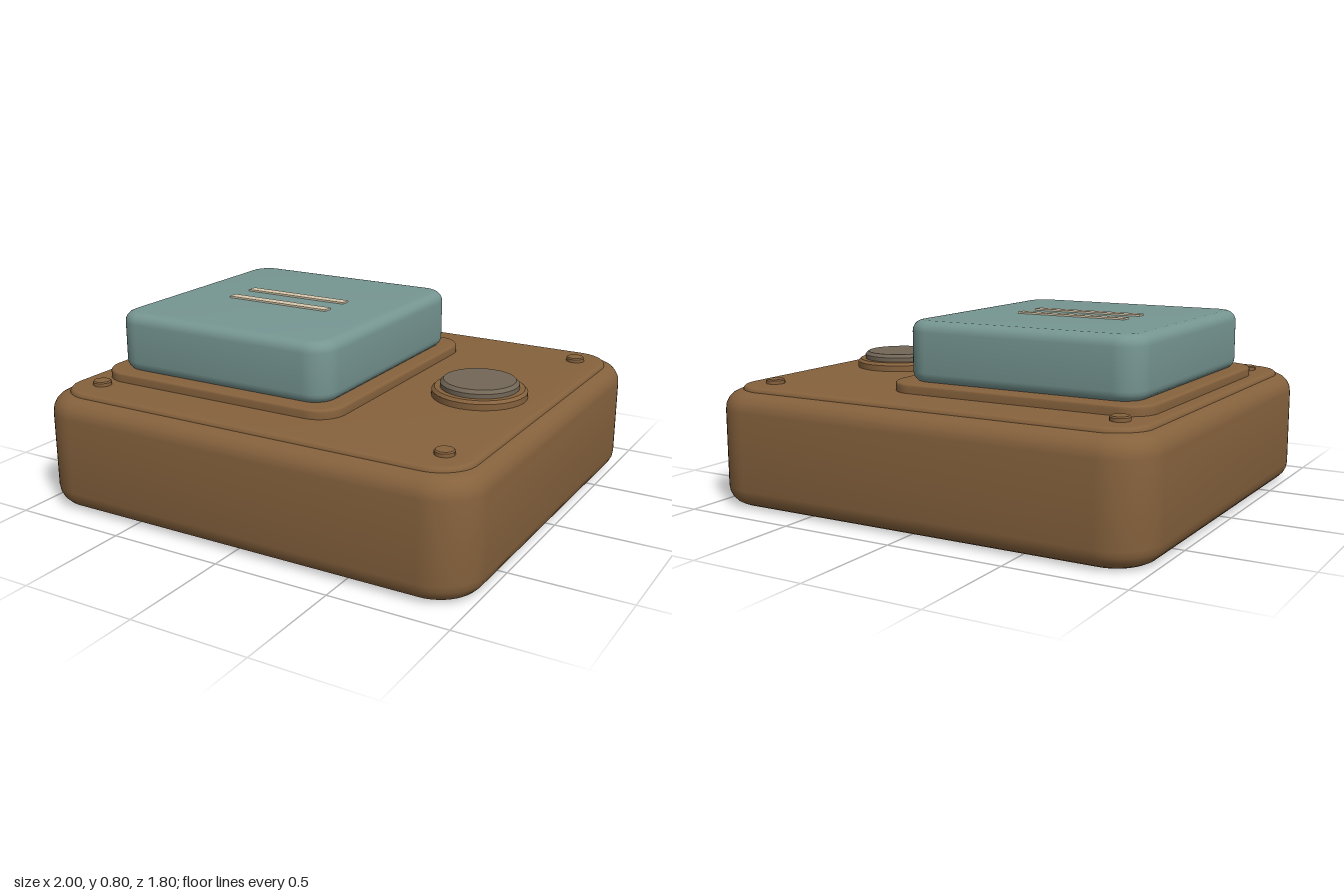
import * as THREE from 'three';
import { toCreasedNormals } from 'three/addons/utils/BufferGeometryUtils.js';

const paint = (name, color) => {
  const m = new THREE.MeshStandardMaterial({ color });
  m.name = name;
  return m;
};

// Rounded rectangle slab lying flat, with rounded top and bottom edges
function slab(x0, x1, depth, y0, y1, radius, bevel) {
  const z = depth / 2 - bevel, l = x0 + bevel, r = x1 - bevel, c = radius - bevel;
  const s = new THREE.Shape();
  s.moveTo(l + c, -z);
  s.lineTo(r - c, -z);
  s.absarc(r - c, -z + c, c, -Math.PI / 2, 0);
  s.absarc(r - c, z - c, c, 0, Math.PI / 2);
  s.absarc(l + c, z - c, c, Math.PI / 2, Math.PI);
  s.absarc(l + c, -z + c, c, Math.PI, Math.PI * 1.5);
  const g = new THREE.ExtrudeGeometry(s, {
    depth: y1 - y0 - 2 * bevel, curveSegments: 6,
    bevelSize: bevel, bevelThickness: bevel, bevelSegments: 5,
  });
  g.rotateX(-Math.PI / 2);
  g.translate(0, y0 + bevel, 0);
  return toCreasedNormals(g, 0.4);
}

// Round disc with a small chamfer on its top edge
function disc(radius, y0, y1, chamfer, sides) {
  const pts = [[0, y0], [radius, y0], [radius, y1 - chamfer], [radius - chamfer, y1], [0, y1]];
  const g = new THREE.LatheGeometry(pts.map(([x, y]) => new THREE.Vector2(x, y)), sides);
  return toCreasedNormals(g, 0.5);
}

export function createModel() {
  const model = new THREE.Group();
  model.name = 'buttonBox';
  const brown = paint('brown casing', 0x86623d);
  const teal = paint('teal button', 0x769692);
  const grey = paint('grey brown cap', 0x726656);
  const cream = paint('cream marks', 0xd8c8ac);

  const add = (name, geometry, material, x = 0, y = 0, z = 0) => {
    const mesh = new THREE.Mesh(geometry, material);
    mesh.name = name;
    mesh.position.set(x, y, z);
    model.add(mesh);
  };

  // Casing and stepped top plate
  add('casing', slab(-1, 1, 1.8, 0, 0.49, 0.19, 0.08), brown);
  add('topPlate', slab(-0.94, 0.94, 1.66, 0.44, 0.507, 0.15, 0.018), brown);

  // Large button on its raised surround
  add('buttonSurround', slab(-0.88, 0.285, 1.23, 0.48, 0.547, 0.12, 0.012), brown);
  add('button', slab(-0.825, 0.23, 1.12, 0.54, 0.797, 0.11, 0.045), teal);
  for (const z of [-0.075, 0.075]) {
    add('buttonMark', new THREE.BoxGeometry(0.5, 0.009, 0.045), cream, -0.3, 0.8, z);
  }

  // Small round button in its ring
  add('roundButtonRing', disc(0.2, 0.49, 0.545, 0.012, 32), brown, 0.64);
  add('roundButton', disc(0.165, 0.53, 0.578, 0.014, 32), grey, 0.64);

  // Corner screws
  for (const x of [-0.81, 0.81]) {
    for (const z of [-0.68, 0.68]) {
      add('cornerScrew', disc(0.04, 0.49, 0.526, 0.005, 16), brown, x, 0, z);
    }
  }
  return model;
}
